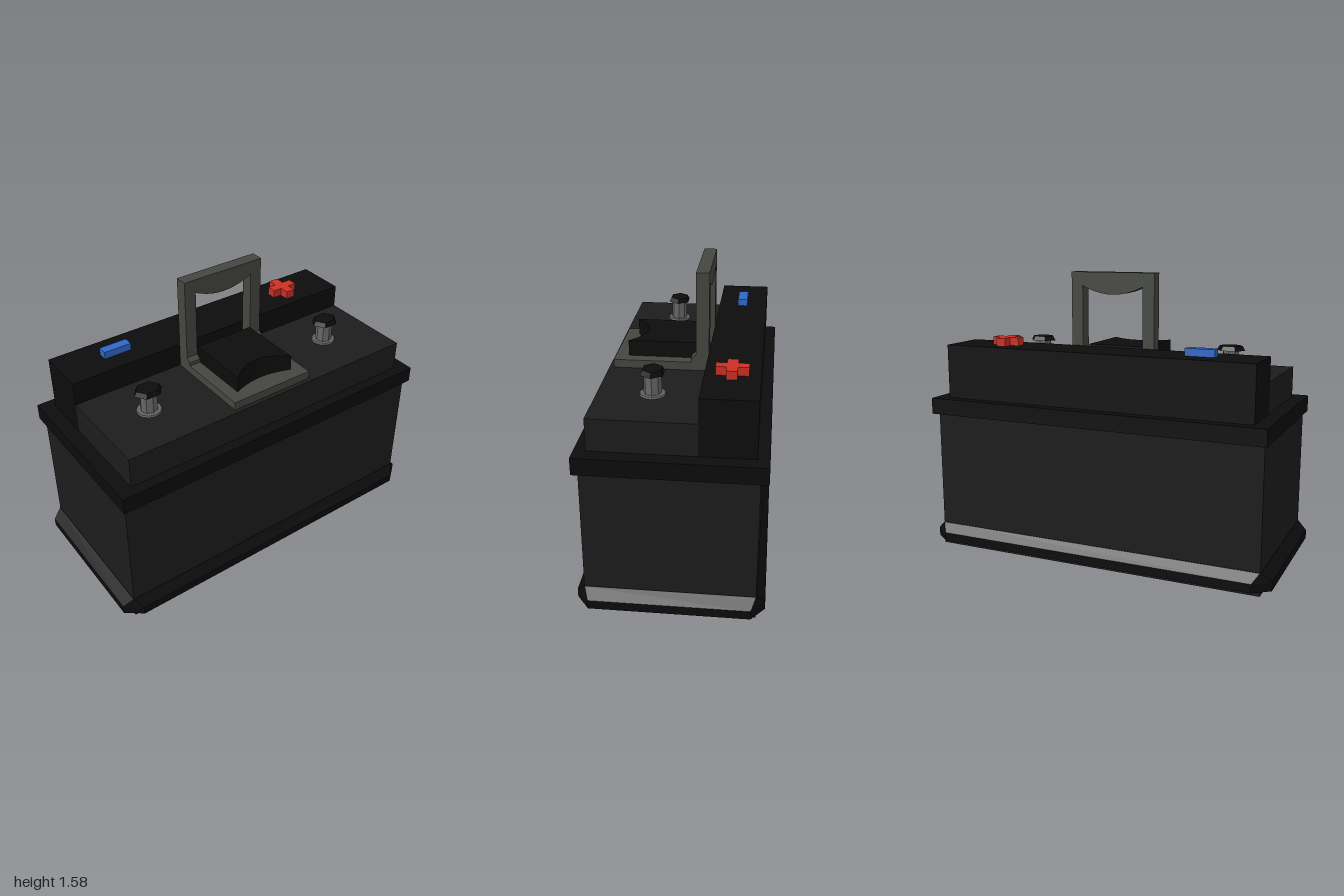
import * as THREE from 'three';
import { ConvexGeometry } from 'three/addons/geometries/ConvexGeometry.js';

const mat = (color) => new THREE.MeshStandardMaterial({ color, flatShading: true });
const CASE = mat(0x1c1c1c), BLACK = mat(0x0c0c0c), GRIP = mat(0x444640);
const METAL = mat(0x666666), RED = mat(0xcb2f23), BLUE = mat(0x3068c8);

const X = new THREE.Vector3(1, 0, 0), Y = new THREE.Vector3(0, 1, 0), Z = new THREE.Vector3(0, 0, 1);
// Shape axes (across, along, depth) mapped onto model axes
const UPRIGHT = new THREE.Matrix4().makeBasis(Z.clone().negate(), Y, X);
const FLAT = new THREE.Matrix4().makeBasis(Z, X, Y);

export function createModel() {
  const model = new THREE.Group();
  model.name = 'battery';

  function add(name, geometry, material, parent = model) {
    const mesh = new THREE.Mesh(geometry, material);
    mesh.name = name;
    parent.add(mesh);
    return mesh;
  }
  // Box given by its limits on each axis
  function box(name, material, [x0, x1], [y0, y1], [z0, z1], parent) {
    const g = new THREE.BoxGeometry(x1 - x0, y1 - y0, z1 - z0);
    g.translate((x0 + x1) / 2, (y0 + y1) / 2, (z0 + z1) / 2);
    return add(name, g, material, parent);
  }
  function extrude(shape, depth, basis, x, y, z) {
    const g = new THREE.ExtrudeGeometry(shape, { depth, bevelEnabled: false, curveSegments: 10 });
    if (basis) g.applyMatrix4(basis);
    return g.translate(x, y, z);
  }

  // Case, rim and stepped lid
  box('case', CASE, [-0.435, 0.435], [0, 0.8], [-0.945, 0.945]);
  box('rim', BLACK, [-0.475, 0.465], [0.78, 0.87], [-0.965, 0.965]);
  box('lid', CASE, [-0.135, 0.405], [0.87, 1.04], [-0.885, 0.885]);
  box('raisedLid', BLACK, [-0.415, -0.135], [0.87, 1.17], [-0.885, 0.885]);

  // Flared foot with cut corners
  const foot = [];
  for (const [y, w, l, cw, cl] of [[0.03, 0.48, 1, 0.07, 0.09], [0.078, 0.48, 1, 0.07, 0.09], [0.125, 0.437, 0.947, 0.004, 0.004]])
    for (const sx of [-1, 1])
      for (const sz of [-1, 1])
        foot.push(new THREE.Vector3(sx * w, y, sz * (l - cl)), new THREE.Vector3(sx * (w - cw), y, sz * l));
  add('foot', new ConvexGeometry(foot), BLACK);

  // Handles: two U frames with a bulging grip bar, one raised and one folded flat
  function frame(length, notch, bulge) {
    const s = new THREE.Shape();
    s.moveTo(-0.245, 0);
    s.lineTo(-0.178, 0);
    s.lineTo(-0.178, notch);
    s.quadraticCurveTo(0, notch - 2 * bulge, 0.178, notch);
    s.lineTo(0.178, 0);
    s.lineTo(0.245, 0);
    s.lineTo(0.245, length);
    s.lineTo(-0.245, length);
    return s;
  }
  add('raisedHandle', extrude(frame(0.535, 0.46, 0.045), 0.07, UPRIGHT, -0.13, 1.04, 0), GRIP);
  add('foldedHandle', extrude(frame(0.44, 0.37, 0.04), 0.045, FLAT, -0.06, 1.04, 0), GRIP);

  // Hinge lugs between the two handles
  const lug = new THREE.Shape([[-0.06, 1.085], [-0.035, 1.085], [-0.035, 1.105], [-0.06, 1.125]]
    .map(([x, y]) => new THREE.Vector2(x, y)));
  for (const z of [-0.245, 0.178]) add('hingeLug', extrude(lug, 0.067, null, 0, 0, z), GRIP);

  // Block inside the folded handle, scooped at the finger end
  const block = new THREE.Shape();
  block.moveTo(-0.175, -0.06);
  block.lineTo(0.175, -0.06);
  block.lineTo(0.175, 0.31);
  block.quadraticCurveTo(0, 0.14, -0.175, 0.31);
  add('handleBlock', extrude(block, 0.13, FLAT, 0, 1.04, 0), BLACK);

  // Terminals: flange, faceted post and bolt head
  for (const z of [-0.57, 0.6]) {
    const terminal = new THREE.Group();
    terminal.name = 'terminal';
    terminal.position.set(0.123, 1.04, z);
    model.add(terminal);
    add('flange', new THREE.CylinderGeometry(0.065, 0.068, 0.01, 12), METAL, terminal).position.y = 0.005;
    add('post', new THREE.CylinderGeometry(0.046, 0.046, 0.115, 8), METAL, terminal).position.y = 0.0575;
    const head = add('boltHead', new THREE.CylinderGeometry(0.065, 0.08, 0.025, 6), BLACK, terminal);
    head.position.y = 0.127;
    head.scale.x = 0.82;
  }

  // Polarity marks
  const plus = new THREE.Group();
  plus.name = 'plusMark';
  model.add(plus);
  box('plusBar', RED, [-0.3, -0.245], [1.17, 1.215], [-0.655, -0.495], plus);
  box('plusArm', RED, [-0.355, -0.3], [1.17, 1.215], [-0.602, -0.547], plus);
  box('plusArm', RED, [-0.245, -0.19], [1.17, 1.215], [-0.602, -0.547], plus);
  box('minusMark', BLUE, [-0.3, -0.245], [1.17, 1.21], [0.48, 0.64]);

  return model;
}
